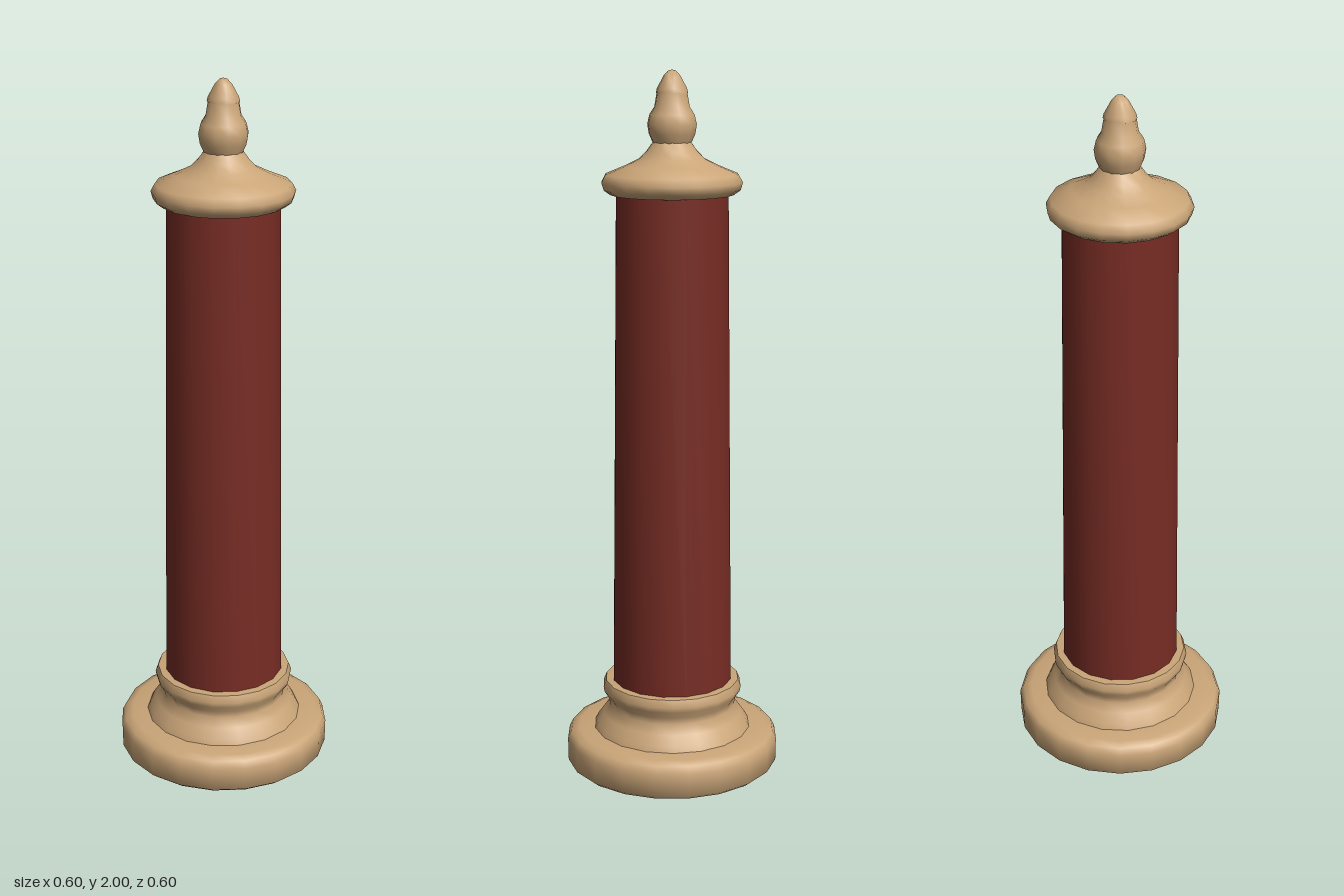
import * as THREE from 'three';
import { toCreasedNormals } from 'three/addons/utils/BufferGeometryUtils.js';

export function createModel() {
  const model = new THREE.Group();
  model.name = 'column';

  const tan = new THREE.MeshStandardMaterial({ color: 0xcaa578 });
  tan.name = 'tan stone';
  const red = new THREE.MeshStandardMaterial({ color: 0x772c24 });
  red.name = 'dark red';

  // Turned part from a [radius, height] profile, bottom to top
  const turn = (name, material, profile, sides) => {
    const points = profile.map(([r, y]) => new THREE.Vector2(r, y));
    const geometry = toCreasedNormals(new THREE.LatheGeometry(points, sides), 0.9);
    const mesh = new THREE.Mesh(geometry, material);
    mesh.name = name;
    model.add(mesh);
  };

  // Pointed peg under the base
  turn('bottomPeg', tan, [[0, 0], [0.025, 0.012], [0.06, 0.045], [0.072, 0.08]], 10);

  // Wide foot with a rounded top edge
  turn('foot', tan, [
    [0, 0.075], [0.285, 0.075], [0.297, 0.085], [0.298, 0.15],
    [0.288, 0.17], [0.265, 0.178], [0.19, 0.18],
  ], 20);

  // Moulded collar holding the shaft
  turn('baseCollar', tan, [
    [0.222, 0.176], [0.213, 0.195], [0.195, 0.22], [0.177, 0.245],
    [0.18, 0.265], [0.193, 0.285], [0.196, 0.3], [0.188, 0.32], [0.15, 0.322],
  ], 18);

  // Tapered shaft
  turn('shaft', red, [[0.168, 0.3], [0.151, 1.7]], 16);

  // Cap with a rounded rim and a concave roof
  turn('cap', tan, [
    [0, 1.677], [0.165, 1.677], [0.183, 1.69], [0.189, 1.71],
    [0.178, 1.73], [0.125, 1.752], [0.088, 1.77], [0.068, 1.79], [0.05, 1.815],
  ], 18);

  // Finial: bulb, neck and pointed tip
  turn('finialBulb', tan, [
    [0.05, 1.808], [0.062, 1.835], [0.066, 1.86], [0.06, 1.885],
    [0.047, 1.905], [0.04, 1.945],
  ], 12);
  turn('finialTip', tan, [
    [0, 1.938], [0.043, 1.94], [0.04, 1.952], [0.022, 1.985], [0.01, 1.997], [0, 2],
  ], 10);

  return model;
}
